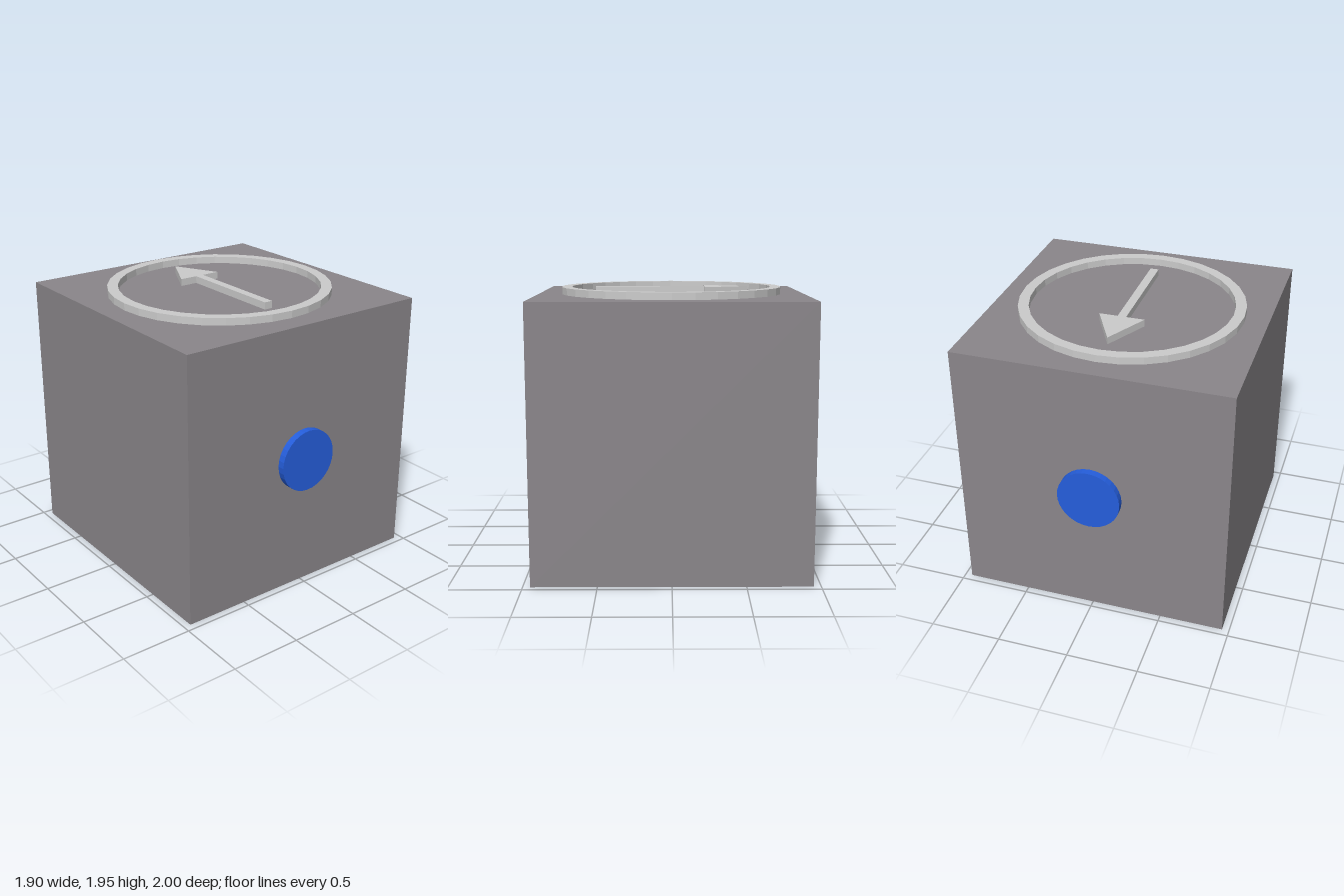
import * as THREE from 'three';

const SIZE = 1.9;    // cube edge
const RELIEF = 0.05; // height of the raised details

function material(color) {
  return new THREE.MeshStandardMaterial({ color, flatShading: true });
}

// Extrudes a flat shape upward from the top of the cube (shape +y becomes -z)
function raisedOnTop(shape, name, mat) {
  const geometry = new THREE.ExtrudeGeometry(shape, {
    depth: RELIEF, bevelEnabled: false, curveSegments: 16,
  });
  geometry.rotateX(-Math.PI / 2);
  const mesh = new THREE.Mesh(geometry, mat);
  mesh.name = name;
  mesh.position.y = SIZE;
  return mesh;
}

export function createModel() {
  const model = new THREE.Group();
  model.name = 'markedCube';
  const bodyMat = material(0x8a868a);
  const reliefMat = material(0xcccccc);
  const buttonMat = material(0x255edc);

  // Cube body
  const body = new THREE.Mesh(new THREE.BoxGeometry(SIZE, SIZE, SIZE), bodyMat);
  body.name = 'body';
  body.position.y = SIZE / 2;
  model.add(body);

  // Raised ring on top
  const ring = new THREE.Shape().absarc(0, 0, 0.79, 0, Math.PI * 2, false);
  ring.holes.push(new THREE.Path().absarc(0, 0, 0.715, 0, Math.PI * 2, true));
  model.add(raisedOnTop(ring, 'topRing', reliefMat));

  // Raised arrow on top, pointing to the back
  const arrow = new THREE.Shape([
    [-0.03, -0.545], [0.03, -0.545], [0.03, 0.24], [0.16, 0.24],
    [0, 0.55], [-0.16, 0.24], [-0.03, 0.24],
  ].map(([x, y]) => new THREE.Vector2(x, y)));
  model.add(raisedOnTop(arrow, 'topArrow', reliefMat));

  // Round buttons on the front and back
  const buttonGeometry = new THREE.CylinderGeometry(0.22, 0.22, RELIEF, 32).rotateX(Math.PI / 2);
  for (const [name, side] of [['frontButton', 1], ['backButton', -1]]) {
    const button = new THREE.Mesh(buttonGeometry, buttonMat);
    button.name = name;
    button.position.set(0, SIZE / 2, side * (SIZE + RELIEF) / 2);
    model.add(button);
  }

  return model;
}
